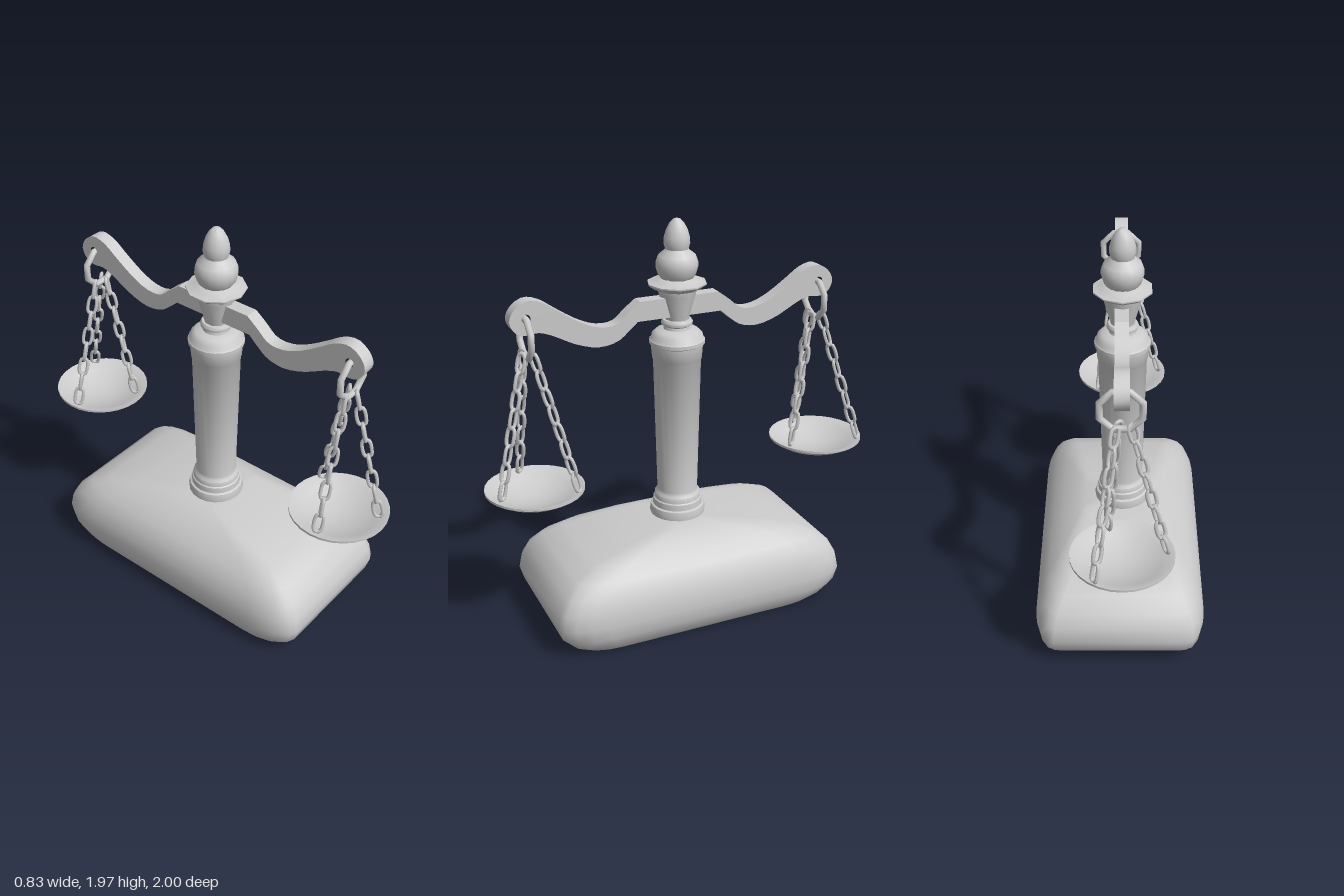
import * as THREE from 'three';
import { toCreasedNormals } from 'three/addons/utils/BufferGeometryUtils.js';

const X0 = -0.012, Z0 = 0.024;      // column axis
const HANG = 0.745, HOLE_Y = 1.592; // where the rings hang on the beam
const mat = new THREE.MeshStandardMaterial({ color: 0xcccccc });

function mesh(name, geo, x = 0, y = 0, z = 0) {
  const m = new THREE.Mesh(geo, mat);
  m.name = name;
  m.position.set(x, y, z);
  return m;
}

// Turned part from [radius, height] pairs, listed bottom to top
function turned(name, profile, sides, x = X0, z = Z0, crease = 0.75) {
  const pts = profile.map(([r, y]) => new THREE.Vector2(r, y));
  return mesh(name, toCreasedNormals(new THREE.LatheGeometry(pts, sides), crease), x, 0, z);
}

// Pillow-shaped base: rounded rectangles stacked as [y, halfX, halfZ]
function baseGeometry() {
  const levels = [
    [0, 0.355, 0.635], [0.03, 0.38, 0.68], [0.09, 0.405, 0.735], [0.16, 0.413, 0.755],
    [0.23, 0.405, 0.742], [0.3, 0.383, 0.705], [0.355, 0.345, 0.645],
    [0.405, 0.292, 0.535], [0.445, 0.235, 0.34], [0.477, 0.175, 0.14],
  ];
  const seg = 4, n = 4 * (seg + 1), pos = [], idx = [];
  for (const [y, hx, hz] of levels) {
    for (let q = 0; q < 4; q++) {
      for (let s = 0; s <= seg; s++) {
        const a = (q + s / seg) * Math.PI / 2;
        const sx = q === 0 || q === 3 ? 1 : -1, sz = q < 2 ? 1 : -1;
        pos.push(hx * (0.77 * sx + 0.23 * Math.cos(a)), y, hz * (0.7 * sz + 0.3 * Math.sin(a)));
      }
    }
  }
  const top = levels.length - 1, cBottom = levels.length * n, cTop = cBottom + 1;
  pos.push(0, 0, 0, 0, levels[top][0], 0);
  for (let i = 0; i < n; i++) {
    const j = (i + 1) % n;
    for (let l = 0; l < top; l++) {
      const a = l * n + i, b = l * n + j;
      idx.push(a, a + n, b, b, a + n, b + n);
    }
    idx.push(cBottom, i, j, cTop, top * n + j, top * n + i);
  }
  const g = new THREE.BufferGeometry();
  g.setAttribute('position', new THREE.Float32BufferAttribute(pos, 3));
  g.setIndex(idx);
  return toCreasedNormals(g, 0.75);
}

// Swan-neck beam with an eye at each end
function beamGeometry() {
  const smooth = (pts, n) => new THREE.CatmullRomCurve3(
    pts.map(([d, y]) => new THREE.Vector3(d, y, 0))).getPoints(n);
  const half = [
    ...smooth([[0.2, 1.603], [0.257, 1.56], [0.32, 1.51], [0.4, 1.507], [0.487, 1.54], [0.594, 1.608],
      [0.668, 1.658], [0.738, 1.674], [0.8, 1.637], [0.823, 1.583], [0.795, 1.53], [0.754, 1.515],
      [0.69, 1.52], [0.631, 1.5], [0.513, 1.44], [0.406, 1.412], [0.316, 1.427], [0.257, 1.47], [0.214, 1.508]], 48),
  ].map((p) => new THREE.Vector2(p.x, p.y));
  const other = half.map((p) => new THREE.Vector2(-p.x, p.y)).reverse();
  const shape = new THREE.Shape([...half, ...other]);
  for (const s of [1, -1]) {
    const eye = new THREE.Path();
    eye.absarc(s * HANG, HOLE_Y, 0.021, 0, Math.PI * 2, true);
    shape.holes.push(eye);
  }
  const g = new THREE.ExtrudeGeometry(shape, { depth: 0.066, bevelEnabled: false, curveSegments: 6 });
  g.translate(0, 0, -0.033).rotateY(-Math.PI / 2);
  return toCreasedNormals(g, 0.6);
}

// One oval chain link, long axis along y
function linkGeometry(length, width, r) {
  const w = width / 2 - r, h = length / 2 - width / 2, pts = [];
  for (let i = 0; i < 5; i++) {
    const a = i * Math.PI / 4;
    pts.push(new THREE.Vector3(w * Math.cos(a), h + w * Math.sin(a), 0));
  }
  for (let i = 0; i < 5; i++) {
    const a = Math.PI + i * Math.PI / 4;
    pts.push(new THREE.Vector3(w * Math.cos(a), -h + w * Math.sin(a), 0));
  }
  return new THREE.TubeGeometry(new THREE.CatmullRomCurve3(pts, true), 20, r, 6, true);
}

// Chain of links between two points, every second link turned a quarter
function chain(from, to, link, count) {
  const g = new THREE.Group();
  g.name = 'chain';
  const dir = to.clone().sub(from).normalize();
  const aim = new THREE.Quaternion().setFromUnitVectors(new THREE.Vector3(0, -1, 0), dir);
  const up = new THREE.Vector3(0, 1, 0);
  for (let i = 0; i < count; i++) {
    const m = mesh('chainLink', link);
    m.position.lerpVectors(from, to, (i + 0.5) / count);
    m.quaternion.copy(aim).multiply(
      new THREE.Quaternion().setFromAxisAngle(up, 0.6 + (i % 2) * Math.PI / 2));
    g.add(m);
  }
  return g;
}

export function createModel() {
  const model = new THREE.Group();
  model.name = 'balanceScale';

  model.add(mesh('base', baseGeometry(), 0, 0, Z0));

  // Column with stepped foot and collar
  model.add(turned('column', [
    [0, 0.47], [0.137, 0.47], [0.139, 0.495], [0.134, 0.52], [0.124, 0.525], [0.122, 0.555],
    [0.116, 0.56], [0.114, 0.585], [0.103, 0.595], [0.1, 0.61], [0.116, 1.29], [0.12, 1.295],
    [0.126, 1.365], [0.134, 1.37], [0.134, 1.388], [0.126, 1.395], [0.122, 1.415], [0.1, 1.435],
    [0.065, 1.442], [0.062, 1.455], [0.074, 1.462], [0.076, 1.475], [0.068, 1.488], [0, 1.49],
  ], 20));

  // Faceted capital and flange
  model.add(turned('capital', [
    [0, 1.48], [0.056, 1.48], [0.062, 1.51], [0.09, 1.61], [0.094, 1.632], [0.115, 1.64],
    [0.142, 1.66], [0.142, 1.667], [0.1, 1.675], [0.078, 1.69], [0, 1.69],
  ], 10));

  // Finial
  model.add(turned('finial', [
    [0, 1.68], [0.076, 1.685], [0.09, 1.705], [0.1, 1.74], [0.099, 1.765], [0.088, 1.795], [0.062, 1.815],
    [0.055, 1.825], [0.062, 1.85], [0.06, 1.88], [0.05, 1.915], [0.034, 1.945], [0.018, 1.962], [0, 1.968],
  ], 16));

  model.add(mesh('beam', beamGeometry(), X0 + 0.004, 0, Z0));

  const link = linkGeometry(0.11, 0.056, 0.009);
  const ends = [[-0.21, 0.015], [0.115, -0.18], [0.055, 0.18]];
  for (const s of [1, -1]) {
    const side = new THREE.Group();
    side.name = s > 0 ? 'frontPanAssembly' : 'backPanAssembly';
    const ringZ = Z0 + s * HANG, panZ = s * 0.762;

    // Hanging ring through the beam's eye
    const ring = mesh('hangingRing', new THREE.TorusGeometry(0.098, 0.016, 8, 8), -0.005, 1.497, ringZ);
    ring.rotation.z = Math.PI / 8;
    side.add(ring);

    // Shallow dish
    side.add(turned('pan', [
      [0, 0.668], [0.07, 0.67], [0.13, 0.686], [0.19, 0.713], [0.238, 0.742], [0.238, 0.754],
      [0.228, 0.752], [0.18, 0.728], [0.12, 0.703], [0.06, 0.689], [0, 0.685],
    ], 28, -0.01, panZ));

    // Three chains from the ring to the rim
    for (const [x, z] of ends) {
      side.add(chain(
        new THREE.Vector3(-0.005 + x * 0.2, 1.425, ringZ + z * 0.12),
        new THREE.Vector3(x, 0.75, panZ + z), link, 8));
    }
    model.add(side);
  }
  return model;
}
